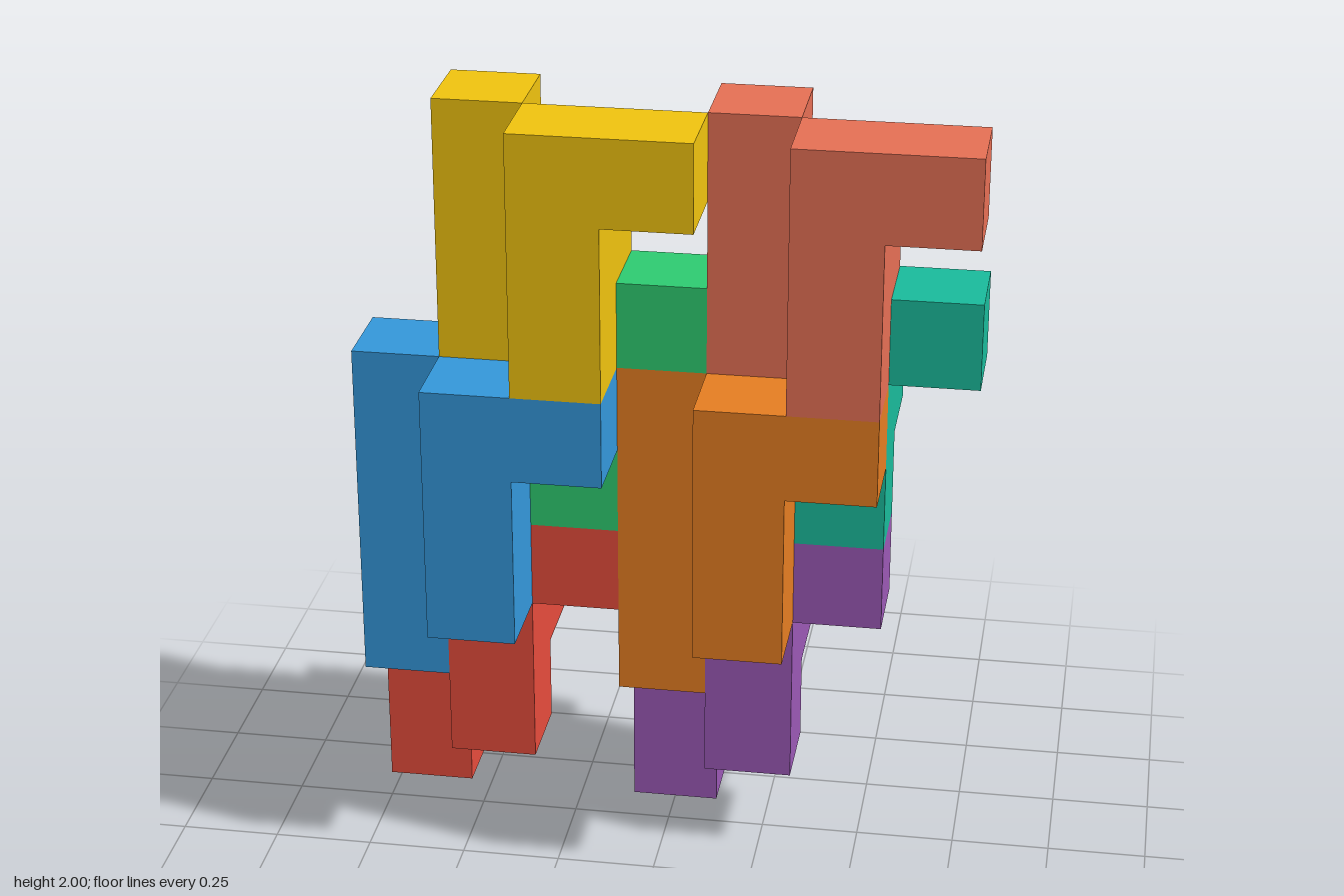
import * as THREE from 'three';
import { mergeGeometries } from 'three/addons/utils/BufferGeometryUtils.js';

const U = 2 / 9; // edge of one cube cell

// Outlines of the two layers of a block, in cells
const BACK = [[0, 0], [1, 0], [1, 2], [2, 2], [2, 3], [1, 3], [1, 4], [0, 4]]; // tall column with a side nub
const FRONT = [[1, 1], [2, 1], [2, 3], [3, 3], [3, 4], [1, 4]]; // shorter column with a flag on top

// Position of each block's corner cell (column, row, layer) and its colour
const BLOCKS = [
  ['redBlock', 0, 0, 0, 0xe74c3c],
  ['purpleBlock', 3, 0, 0, 0x9b59b6],
  ['blueBlock', 0, 2, 1, 0x3498db],
  ['orangeBlock', 3, 2, 1, 0xe67e22],
  ['greenBlock', 1, 3, 0, 0x2ecc71],
  ['tealBlock', 4, 3, 0, 0x1abc9c],
  ['yellowBlock', 1, 5, 1, 0xf1c40f],
  ['salmonBlock', 4, 5, 1, 0xe77055],
];

// One layer, a single cell deep
function layer(outline, z) {
  const shape = new THREE.Shape(outline.map(([x, y]) => new THREE.Vector2(x * U, y * U)));
  return new THREE.ExtrudeGeometry(shape, { depth: U, bevelEnabled: false }).translate(0, 0, z * U);
}

export function createModel() {
  const group = new THREE.Group();
  group.name = 'interlockingBlocks';

  // All blocks share one shape: back layer joined to front layer at the nub
  const geometry = mergeGeometries([layer(BACK, 0), layer(FRONT, 1)]);

  for (const [name, column, row, depth, color] of BLOCKS) {
    const block = new THREE.Mesh(geometry, new THREE.MeshStandardMaterial({ color }));
    block.name = name;
    block.position.set((column - 3.5) * U, row * U, (depth - 1.5) * U);
    group.add(block);
  }
  return group;
}
